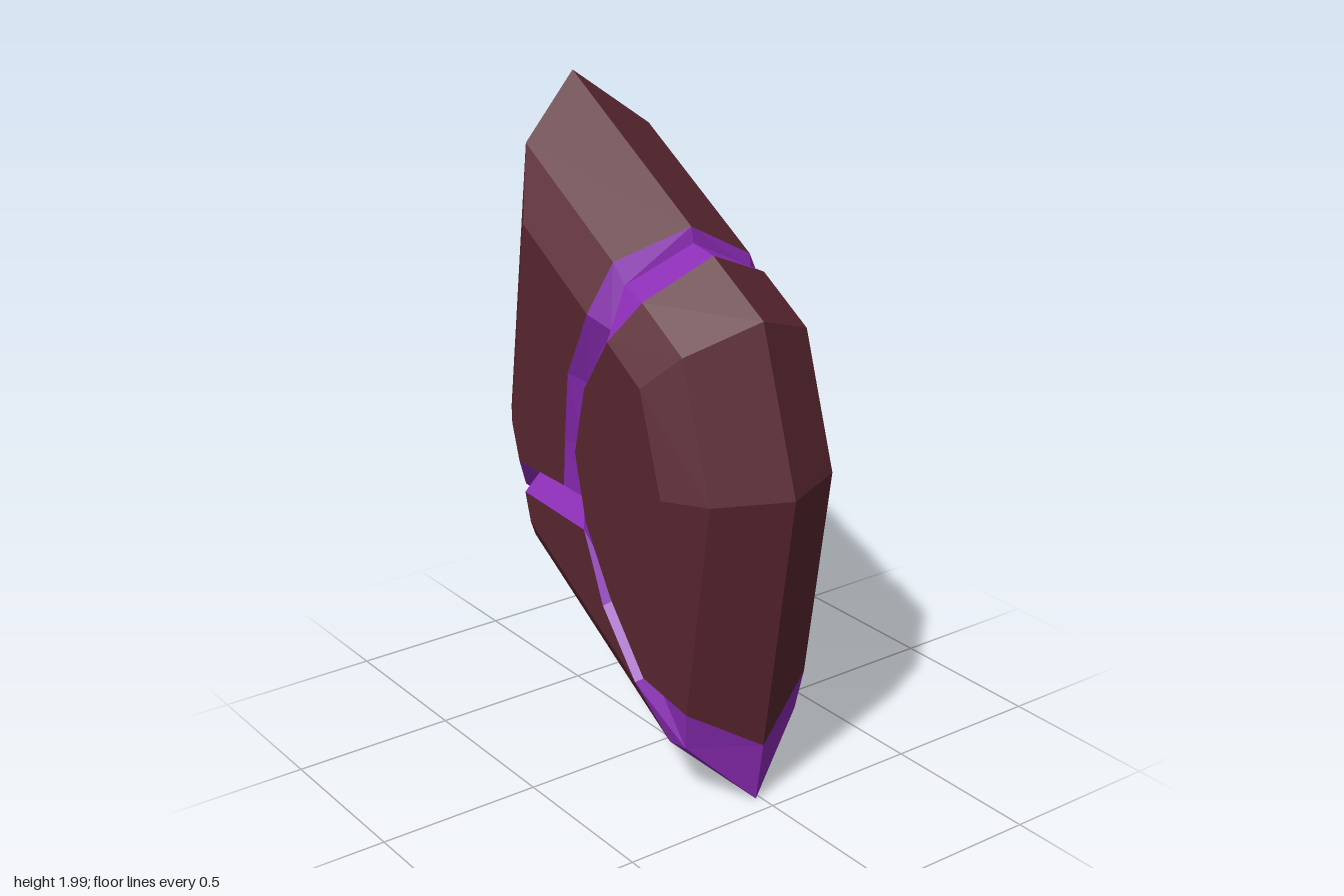
import * as THREE from 'three';

// Gem girdle, clockwise from the top tip
const HEX = [[-0.45, 2], [0.44, 1.47], [0.59, 1], [0.44, 0.01], [-0.45, 0.54], [-0.59, 1]];

// Crack points on the girdle, shared by both faces: right-hand rim (a), floor (c), other rim (b)
const GIRDLE = {
  top: { a: [0.12, 1.66], c: [0.13, 1.615], b: [0.22, 1.6] },
  side: { a: [-0.51, 0.735], c: [-0.475, 0.775], b: [-0.54, 0.84] },
  bottom: { a: [0.47, 0.2], c: [0.44, 0.01], b: [0.38, 0.05] },
};

// Each crack runs inwards over the outer ring, the inner ring and the flat, to the junction
const FACES = {
  front: {
    sign: 1, z: [0.015, 0.23, 0.305], scale: [1, 0.83, 0.625], depth: 0.05,
    joint: { left: [-0.1, 0.89], lower: [0, 0.785], right: [0.01, 0.81], floor: [-0.07, 0.85] },
    top: {
      a: [[0.05, 1.58], [0.03, 1.44], [-0.07, 1.24], [-0.09, 1.03]],
      c: [[0.085, 1.52], [0.075, 1.395], [-0.04, 1.21], [-0.07, 1.02]],
      b: [[0.185, 1.498], [0.125, 1.385], [0.01, 1.215], [-0.04, 1.01]],
    },
    side: {
      a: [[-0.405, 0.72], [-0.307, 0.8]],
      c: [[-0.39, 0.755], [-0.3, 0.855]],
      b: [[-0.42, 0.77], [-0.335, 0.89]],
    },
    bottom: {
      a: [[0.388, 0.33], [0.285, 0.43], [0.13, 0.615]],
      c: [[0.365, 0.21], [0.27, 0.42], [0.115, 0.605]],
      b: [[0.31, 0.213], [0.245, 0.4], [0.09, 0.58]],
    },
  },
  back: {
    sign: -1, z: [0.015, -0.2, -0.31], scale: [1, 0.83, 0.52], depth: 0.04,
    joint: { left: [-0.005, 0.92], lower: [0.005, 0.87], right: [0.04, 0.92], floor: [0.01, 0.91] },
    top: {
      a: [[0.11, 1.543], [0.085, 1.33], [0.025, 1.12]],
      c: [[0.13, 1.51], [0.1, 1.31], [0.045, 1.12]],
      b: [[0.175, 1.505], [0.125, 1.305], [0.065, 1.12]],
    },
    side: {
      a: [[-0.385, 0.655], [-0.24, 0.78]],
      c: [[-0.385, 0.68], [-0.245, 0.805]],
      b: [[-0.4, 0.7], [-0.255, 0.83]],
    },
    bottom: {
      a: [[0.39, 0.34], [0.242, 0.57], [0.165, 0.75]],
      c: [[0.365, 0.21], [0.235, 0.53], [0.15, 0.73]],
      b: [[0.3, 0.22], [0.215, 0.495], [0.13, 0.72]],
    },
  },
};

// Which junction corner ends each line of a crack
const ENDS = {
  top: { a: 'left', c: 'floor', b: 'right' },
  side: { a: 'lower', c: 'floor', b: 'left' },
  bottom: { a: 'right', c: 'floor', b: 'lower' },
};

// Chunks between two cracks, with the girdle corners passed on the way round
const CHUNKS = {
  upperLeftChunk: { from: 'top', to: 'side', corners: [0, 5] },
  lowerChunk: { from: 'side', to: 'bottom', corners: [4] },
  rightChunk: { from: 'bottom', to: 'top', corners: [2, 1] },
};

// Full 3D line of a crack: rims lie on the gem, the floor is sunk into it
function crackLine(face, crack, key) {
  const points = [GIRDLE[crack][key], ...face[crack][key], face.joint[ENDS[crack][key]]];
  return points.map(([x, y], i) => {
    const sink = key === 'c' ? [0, 0.3, 1][Math.min(i, 2)] * face.depth : 0;
    return [x, y, face.z[Math.min(i, 2)] - face.sign * sink];
  });
}

// Collects triangles, turning them round for the back face
function addTriangle(out, sign, p, q, r) {
  out.push(...p, ...(sign > 0 ? q : r), ...(sign > 0 ? r : q));
}

// Strip of quads between two lines of equal length
function addStrip(out, sign, outer, inner) {
  for (let i = 0; i < outer.length - 1; i++) {
    addTriangle(out, sign, outer[i], outer[i + 1], inner[i + 1]);
    addTriangle(out, sign, outer[i], inner[i + 1], inner[i]);
  }
}

// One chunk face: two bevel bands and a flat cap
function addChunk(out, face, { from, to, corners }) {
  const start = crackLine(face, from, 'a');
  const end = crackLine(face, to, 'b');
  const arcs = face.scale.map((k, i) => [
    start[i],
    ...corners.map((n) => [HEX[n][0] * k, 1 + (HEX[n][1] - 1) * k, face.z[i]]),
    end[i],
  ]);
  addStrip(out, face.sign, arcs[0], arcs[1]);
  addStrip(out, face.sign, arcs[1], arcs[2]);
  const cap = [...arcs[2], ...end.slice(3), ...start.slice(3, -1).reverse()];
  const flat = cap.map((p) => new THREE.Vector2(p[0], p[1]));
  for (const [i, j, k] of THREE.ShapeUtils.triangulateShape(flat, [])) {
    addTriangle(out, face.sign, cap[i], cap[j], cap[k]);
  }
}

// Two sloping walls of a crack
function addCrack(out, face, crack) {
  const [a, c, b] = ['a', 'c', 'b'].map((key) => crackLine(face, crack, key));
  addStrip(out, face.sign, a, c);
  addStrip(out, face.sign, c, b);
}

function facetedMesh(name, positions, material) {
  const geometry = new THREE.BufferGeometry();
  geometry.setAttribute('position', new THREE.Float32BufferAttribute(positions, 3));
  geometry.computeVertexNormals();
  const mesh = new THREE.Mesh(geometry, material);
  mesh.name = name;
  return mesh;
}

export function createModel() {
  const group = new THREE.Group();
  group.name = 'crackedGem';
  const stone = new THREE.MeshStandardMaterial({ color: 0x5a2630, flatShading: true });
  const glow = new THREE.MeshStandardMaterial({ color: 0x8a2bb4, flatShading: true });
  const faces = Object.values(FACES);

  // Stone chunks
  for (const [name, chunk] of Object.entries(CHUNKS)) {
    const out = [];
    faces.forEach((face) => addChunk(out, face, chunk));
    group.add(facetedMesh(name, out, stone));
  }
  // Purple cracks
  for (const crack of Object.keys(GIRDLE)) {
    const out = [];
    faces.forEach((face) => addCrack(out, face, crack));
    group.add(facetedMesh(crack + 'Crack', out, glow));
  }
  return group;
}
